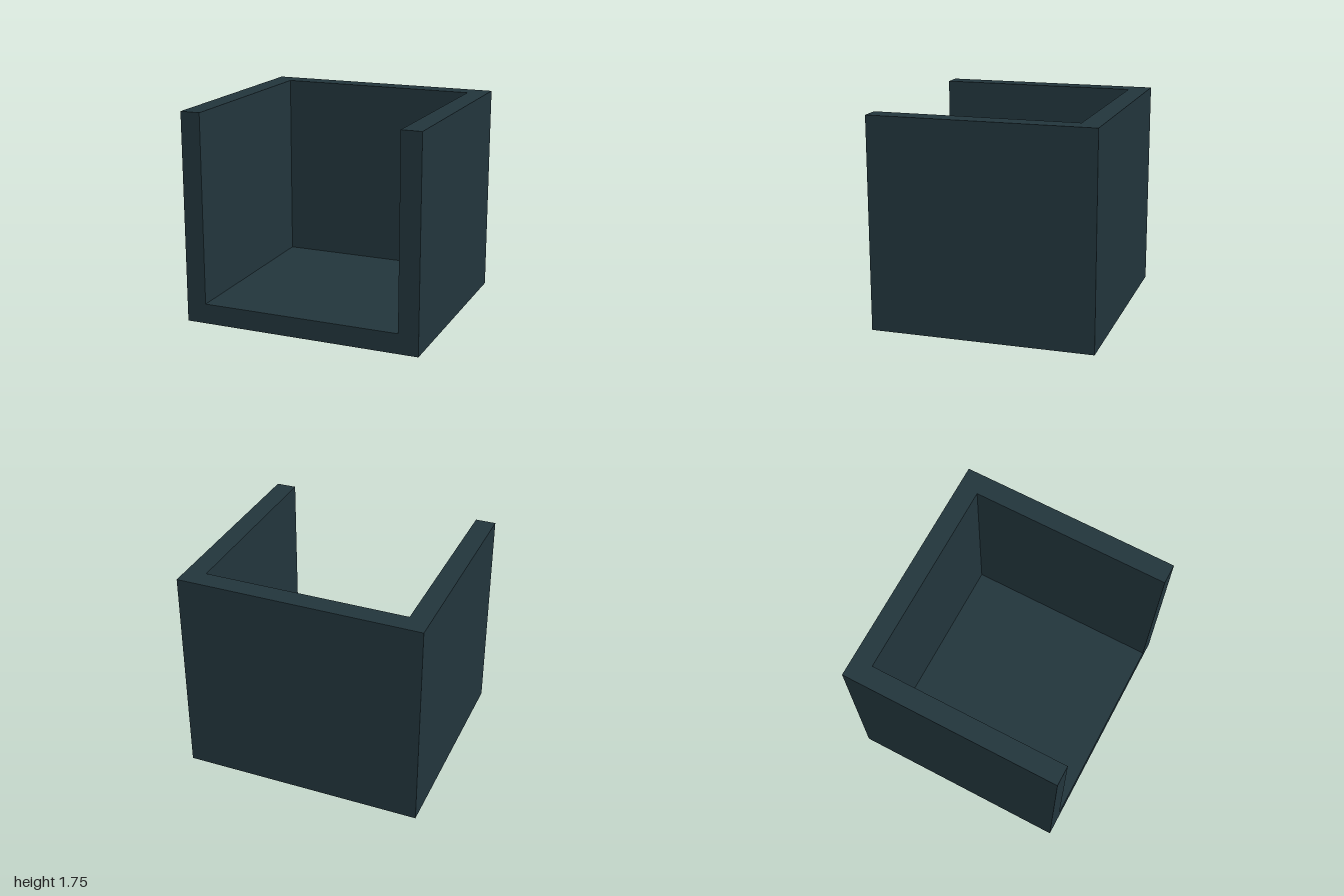
import * as THREE from 'three';

const WIDTH = 2, HEIGHT = 1.75, DEPTH = 1.834, WALL = 0.167;

export function createModel() {
  const group = new THREE.Group();
  group.name = 'openCubby';
  const slate = new THREE.MeshStandardMaterial({ color: 0x22353c });
  slate.name = 'darkSlate';

  // U-shaped floor and side walls, open at the top and front
  const x = WIDTH / 2, inner = x - WALL;
  const profile = new THREE.Shape([
    [-x, 0], [x, 0], [x, HEIGHT], [inner, HEIGHT],
    [inner, WALL], [-inner, WALL], [-inner, HEIGHT], [-x, HEIGHT],
  ].map(([px, py]) => new THREE.Vector2(px, py)));
  const channel = new THREE.Mesh(
    new THREE.ExtrudeGeometry(profile, { depth: DEPTH - WALL, bevelEnabled: false }), slate);
  channel.name = 'floorAndSideWalls';
  channel.position.z = -DEPTH / 2 + WALL;
  group.add(channel);

  // Full-width back wall
  const back = new THREE.Mesh(new THREE.BoxGeometry(WIDTH, HEIGHT, WALL), slate);
  back.name = 'backWall';
  back.position.set(0, HEIGHT / 2, -DEPTH / 2 + WALL / 2);
  group.add(back);

  return group;
}
